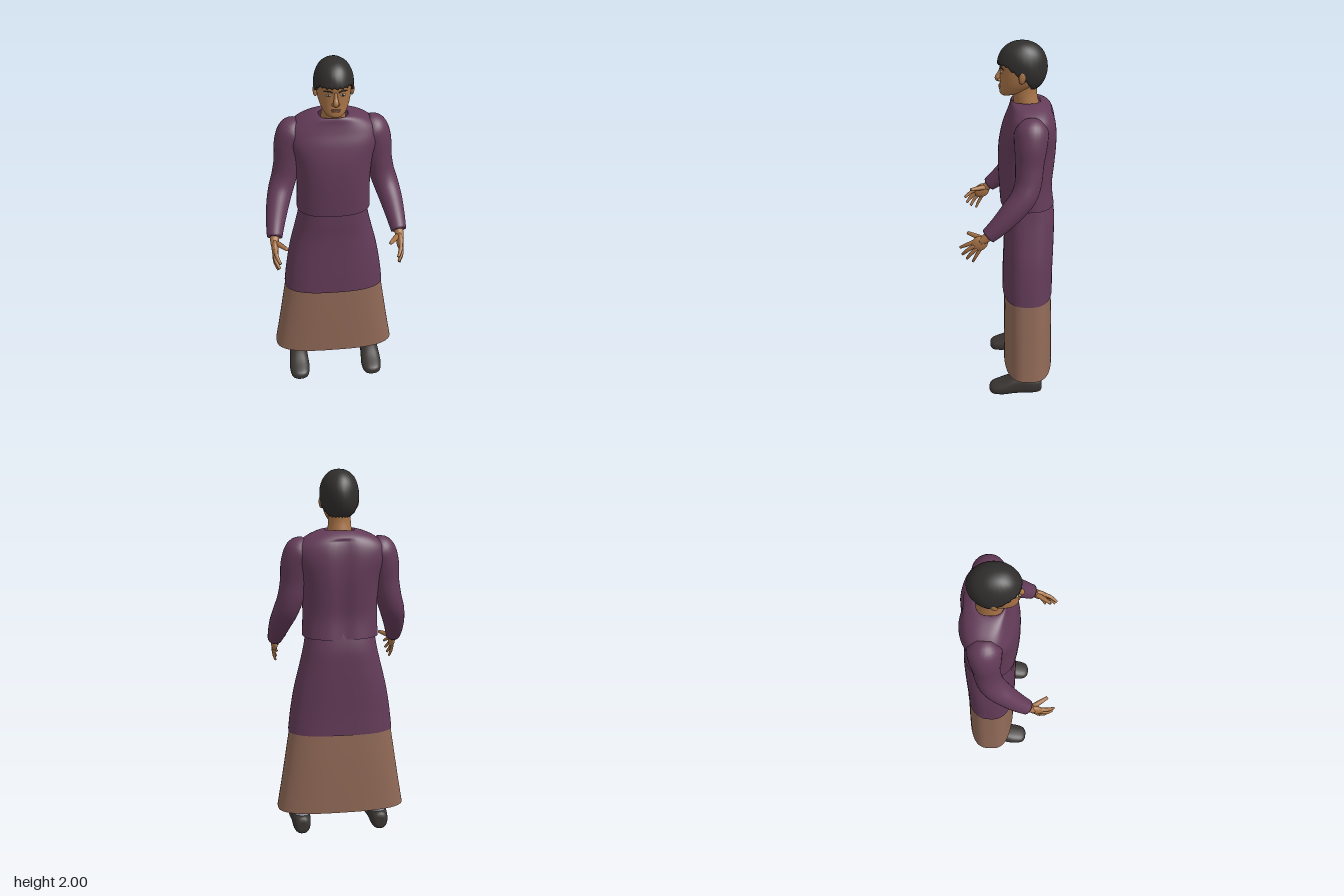
import * as THREE from 'three';

const mat = (name, color, side = THREE.FrontSide) => {
  const m = new THREE.MeshStandardMaterial({ color, side });
  m.name = name;
  return m;
};

// Skin over a list of closed rings, with optional rounded end caps
function skin(rings, capStart, capEnd) {
  const n = rings[0].length, pos = [], idx = [];
  rings.forEach(r => r.forEach(p => pos.push(p.x, p.y, p.z)));
  for (let i = 0; i < rings.length - 1; i++)
    for (let j = 0; j < n; j++) {
      const a = i * n + j, b = i * n + (j + 1) % n;
      idx.push(a, a + n, b, b, a + n, b + n);
    }
  const cap = (row, flip) => {
    const c = new THREE.Vector3();
    rings[row].forEach(p => c.addScaledVector(p, 1 / n));
    const k = pos.length / 3;
    pos.push(c.x, c.y, c.z);
    for (let j = 0; j < n; j++) {
      const a = row * n + j, b = row * n + (j + 1) % n;
      if (flip) idx.push(a, b, k); else idx.push(a, k, b);
    }
  };
  if (capStart) cap(0, true);
  if (capEnd) cap(rings.length - 1, false);
  const g = new THREE.BufferGeometry();
  g.setAttribute('position', new THREE.Float32BufferAttribute(pos, 3));
  g.setIndex(idx);
  g.computeVertexNormals();
  return g;
}

// Smooth interpolation between rows of numbers
function smooth(rows, steps) {
  const out = [], at = i => rows[Math.max(0, Math.min(rows.length - 1, i))];
  for (let s = 0; s <= steps; s++) {
    const u = s / steps * (rows.length - 1), i = Math.min(Math.floor(u), rows.length - 2), t = u - i;
    out.push(rows[0].map((_, k) => {
      const [a, b, c, d] = [at(i - 1)[k], at(i)[k], at(i + 1)[k], at(i + 2)[k]];
      return b + 0.5 * t * (c - a + t * (2 * a - 5 * b + 4 * c - d + t * (3 * (b - c) + d - a)));
    }));
  }
  return out;
}

const sp = (v, p) => Math.sign(v) * Math.abs(v) ** (2 / p);

// Loft upward; section = [y, halfWidth, zFront, zBack, tilt]
function loft(sections, { power = 2, steps = 24, n = 40, start = false, end = false, move } = {}) {
  const rings = smooth(sections, steps).map(([y, rx, zf, zb, tilt = 0]) =>
    Array.from({ length: n }, (_, j) => {
      const a = j / n * Math.PI * 2, s = sp(Math.sin(a), power);
      const p = new THREE.Vector3(rx * sp(Math.cos(a), power), y + tilt * s, (zf + zb) / 2 + (zf - zb) / 2 * s);
      if (move) move(p, a);
      return p;
    }));
  return skin(rings, start, end);
}

// Tapered limb; points = [x, y, z, radius], mirrored by s
function limb(points, s, { steps = 16, n = 16, start = true, end = true } = {}) {
  const rows = smooth(points.map(([x, y, z, r]) => [x * s, y, z, r]), steps);
  const curve = new THREE.CatmullRomCurve3(rows.map(r => new THREE.Vector3(r[0], r[1], r[2])));
  const rings = [];
  let N = new THREE.Vector3(1, 0, 0);
  rows.forEach(([x, y, z, r], i) => {
    const T = curve.getTangent(i / steps);
    N = N.clone().addScaledVector(T, -N.dot(T)).normalize();
    const B = T.clone().cross(N);
    rings.push(Array.from({ length: n }, (_, j) => {
      const a = j / n * Math.PI * 2;
      return new THREE.Vector3(x, y, z).addScaledVector(N, r * Math.cos(a)).addScaledVector(B, -r * Math.sin(a));
    }));
  });
  return skin(rings, start, end);
}

export function createModel() {
  const D = THREE.DoubleSide;
  const purple = mat('purple cloth', 0x633b58, D), brown = mat('brown cloth', 0x8f6856, D);
  const flesh = mat('skin', 0xa87347), lip = mat('lips', 0x8c5a3e), hairMat = mat('hair', 0x302e2d, D);
  const shoeMat = mat('shoe leather', 0x393532), sockMat = mat('sock', 0xa9a9b8), white = mat('eye white', 0xc9bfb4);
  const root = new THREE.Group();
  const add = (name, geo, m, parent = root) => {
    const mesh = new THREE.Mesh(geo, m);
    mesh.name = name;
    parent.add(mesh);
    return mesh;
  };
  const blob = (name, m, [x, y, z], [a, b, c], parent) => {
    const mesh = add(name, new THREE.SphereGeometry(1, 20, 14), m, parent);
    mesh.position.set(x, y, z);
    mesh.scale.set(a, b, c);
    return mesh;
  };

  // Clothing, each layer open at the hem
  add('skirt', loft([[0.16, 0.352, 0.025, -0.252], [0.32, 0.325, 0.024, -0.25], [0.48, 0.3, 0.022, -0.246],
    [0.66, 0.272, 0.018, -0.238]], { power: 2.9, n: 64 }), brown);
  add('lowerTunic', loft([[0.61, 0.285, 0.032, -0.248], [0.72, 0.272, 0.03, -0.247], [0.85, 0.25, 0.025, -0.25],
    [0.98, 0.218, 0.022, -0.252], [1.08, 0.195, 0.028, -0.25], [1.18, 0.18, 0.03, -0.23]], { power: 2.7, n: 64 }), purple);
  add('upperTunic', loft([[1.14, 0.202, 0.042, -0.25], [1.25, 0.198, 0.05, -0.238], [1.36, 0.2, 0.054, -0.247],
    [1.46, 0.212, 0.05, -0.254], [1.55, 0.24, 0.032, -0.253], [1.615, 0.232, 0.007, -0.243],
    [1.66, 0.185, -0.007, -0.225, -0.005], [1.688, 0.125, -0.012, -0.195, -0.016],
    [1.697, 0.082, -0.018, -0.172, -0.022], [1.685, 0.076, -0.026, -0.164, -0.022]], {
    power: 2.5, n: 64, steps: 45,
    move: (p, a) => { // shallow groove along the spine
      if (Math.sin(a) < 0 && p.y < 1.66) p.z += 0.014 * Math.exp(-((p.x / 0.045) ** 2));
    },
  }), purple);

  // Head and neck
  const head = new THREE.Group();
  head.name = 'head';
  root.add(head);
  add('neck', loft([[1.6, 0.075, -0.03, -0.17], [1.68, 0.064, -0.028, -0.158], [1.74, 0.059, -0.02, -0.148],
    [1.8, 0.06, -0.015, -0.15]]), flesh, head);
  add('face', loft([[1.722, 0.022, 0.03, -0.015], [1.732, 0.043, 0.041, -0.05], [1.752, 0.061, 0.045, -0.1],
    [1.785, 0.077, 0.042, -0.145], [1.82, 0.085, 0.041, -0.165], [1.86, 0.089, 0.041, -0.18],
    [1.905, 0.09, 0.042, -0.18], [1.95, 0.075, 0.015, -0.15], [1.975, 0.04, -0.02, -0.11]],
  { power: 2.2, start: true, end: true, steps: 32 }), flesh, head);
  add('nose', limb([[0, 1.862, 0.036, 0.007], [0, 1.835, 0.044, 0.01], [0, 1.812, 0.053, 0.015],
    [0, 1.799, 0.047, 0.012]], 1), flesh, head);
  blob('upperLip', lip, [0, 1.772, 0.041], [0.025, 0.0045, 0.008], head);
  blob('lowerLip', lip, [0, 1.764, 0.041], [0.021, 0.005, 0.0085], head);
  for (const s of [1, -1]) {
    blob('eye', white, [s * 0.035, 1.849, 0.034], [0.014, 0.006, 0.006], head);
    blob('iris', hairMat, [s * 0.035, 1.849, 0.038], [0.006, 0.006, 0.003], head);
    blob('nostril', flesh, [s * 0.012, 1.802, 0.044], [0.009, 0.008, 0.01], head);
    add('eyebrow', limb([[0.015, 1.864, 0.041, 0.003], [0.035, 1.871, 0.037, 0.004], [0.058, 1.865, 0.021, 0.002]],
      s, { n: 8 }), hairMat, head);
    blob('ear', flesh, [s * 0.092, 1.835, -0.073], [0.012, 0.034, 0.021], head).rotation.set(-0.2, s * 0.35, 0);
  }

  // Hair cap: short fringe, low at the nape
  const hairRings = [], n = 72;
  for (let i = 0; i <= 18; i++) {
    const t = Math.min(i, 17) / 17, tuck = i === 18 ? 0.86 : 1;
    hairRings.push(Array.from({ length: n }, (_, j) => {
      const a = j / n * Math.PI * 2, f = Math.sin(a);
      const line = (f > 0 ? 1.832 + 0.055 * Math.min(1, f * 1.5) : 1.832 - 0.066 * Math.min(1, -f * 1.6)) + 0.005 * Math.sin(j * 2.1);
      const th = Math.max(0.01, t * Math.acos((line - 1.868) / 0.132));
      const r = sp(Math.sin(th), 2.25) * tuck * (1 + 0.012 * Math.sin(5 * a + 4 * th) * Math.sin(3 * th));
      return new THREE.Vector3(0.102 * r * Math.cos(a), 1.868 + 0.132 * sp(Math.cos(th), 2.15), -0.071 + 0.129 * r * f);
    }));
  }
  add('hair', skin(hairRings.reverse(), false, true), hairMat, head);

  for (const s of [1, -1]) {
    const side = s > 0 ? 'left' : 'right';
    // Sleeve, shoulder to cuff
    add(side + 'Sleeve', limb([[0.165, 1.625, -0.115, 0.05], [0.2, 1.59, -0.115, 0.085], [0.228, 1.525, -0.112, 0.083],
      [0.243, 1.43, -0.106, 0.073], [0.262, 1.34, -0.1, 0.069], [0.286, 1.268, -0.075, 0.067],
      [0.308, 1.2, -0.02, 0.061], [0.325, 1.13, 0.045, 0.051], [0.335, 1.075, 0.105, 0.041]], s,
    { steps: 40, n: 28 }), purple);

    // Hand, palm turned inward
    const hand = new THREE.Group();
    hand.name = side + 'Hand';
    root.add(hand);
    add('wrist', limb([[0.332, 1.1, 0.075, 0.026], [0.336, 1.065, 0.115, 0.024], [0.337, 1.045, 0.145, 0.02]], s), flesh, hand);
    blob('palm', flesh, [s * 0.336, 1.033, 0.15], [0.019, 0.039, 0.049], hand).rotation.x = 0.75;
    const fingers = [
      [[0.336, 1.045, 0.175, 0.011], [0.329, 1.023, 0.215, 0.01], [0.312, 0.999, 0.25, 0.007]],
      [[0.341, 1.025, 0.175, 0.011], [0.336, 0.995, 0.212, 0.01], [0.318, 0.962, 0.24, 0.007]],
      [[0.342, 1.01, 0.165, 0.011], [0.34, 0.975, 0.195, 0.0095], [0.324, 0.94, 0.217, 0.007]],
      [[0.34, 1.0, 0.148, 0.01], [0.339, 0.96, 0.17, 0.0085], [0.33, 0.925, 0.186, 0.006]],
      [[0.33, 1.055, 0.13, 0.015], [0.304, 1.06, 0.168, 0.0135], [0.274, 1.064, 0.212, 0.009]],
    ];
    fingers.forEach((p, i) => add(i < 4 ? 'finger' : 'thumb', limb(p, s, { n: 10, steps: 10 }), flesh, hand));

    // Foot: sock and slip-on shoe
    const sock = add(side + 'Sock', loft([[0.08, 0.042, -0.06, -0.165], [0.16, 0.038, -0.073, -0.168],
      [0.4, 0.05, -0.06, -0.17]], { end: true }), sockMat);
    sock.position.x = s * 0.218;
    const shoe = loft([[-0.192, 0.022, -0.03, -0.085], [-0.18, 0.04, -0.012, -0.108], [-0.14, 0.05, -0.006, -0.117],
      [-0.08, 0.053, -0.006, -0.128], [-0.03, 0.056, -0.004, -0.118], [0.03, 0.06, -0.001, -0.088],
      [0.08, 0.052, -0.004, -0.068], [0.1, 0.037, -0.011, -0.057], [0.109, 0.016, -0.022, -0.045]],
    { power: 2.4, start: true, end: true, steps: 32 }).rotateX(Math.PI / 2);
    const shoeMesh = add(side + 'Shoe', shoe, shoeMat);
    shoeMesh.position.x = s * 0.22;
  }
  return root;
}
